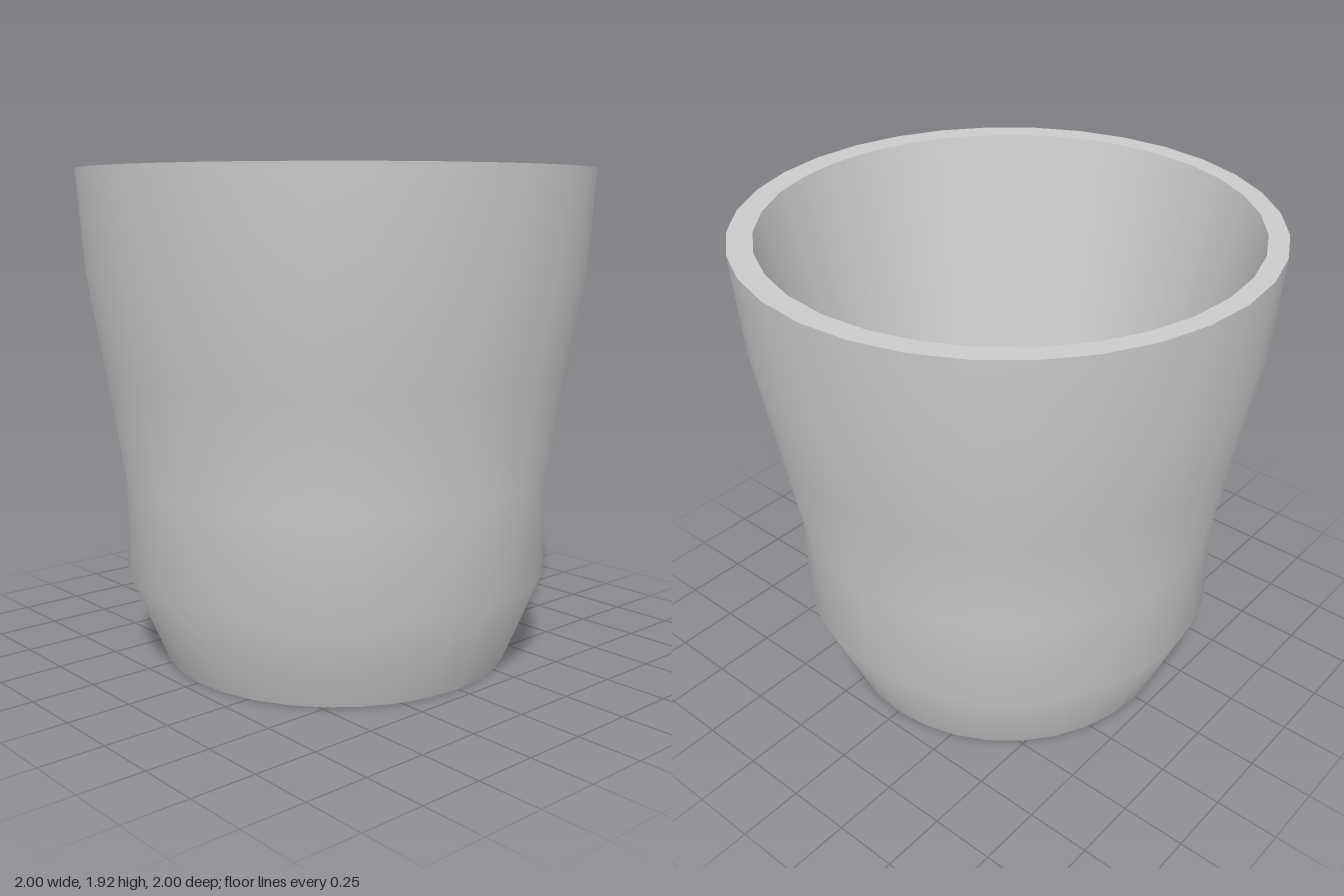
import * as THREE from 'three';

const SIDES = 32;
const HEIGHT = 1.92;
const material = new THREE.MeshStandardMaterial({ color: 0xcccccc });

// Revolves a profile of [radius, y, zShift]; each ring may sit slightly off the axis.
function revolve(name, profile) {
  const geometry = new THREE.LatheGeometry(
    profile.map(([r, y]) => new THREE.Vector2(r, y)), SIDES);
  const pos = geometry.attributes.position;
  for (let i = 0; i < pos.count; i++) {
    pos.setZ(i, pos.getZ(i) + (profile[i % profile.length][2] || 0));
  }
  const mesh = new THREE.Mesh(geometry, material);
  mesh.name = name;
  return mesh;
}

export function createModel() {
  const cup = new THREE.Group();
  cup.name = 'cup';

  // The hollow is a plain taper, set a touch towards the back
  const mouth = [0.915, HEIGHT, -0.012];
  const floorEdge = [0.522, 0.12, -0.018];

  cup.add(
    // Tapered foot, straight band, then a gently flaring body
    revolve('outerWall', [
      [0.69, 0], [0.84, 0.36], [0.84, 0.73], [0.91, 1.15], [0.972, 1.53], [1, HEIGHT],
    ]),
    revolve('rim', [[1, HEIGHT], mouth]),
    revolve('innerWall', [mouth, floorEdge]),
    revolve('innerFloor', [floorEdge, [0, 0.12, -0.018]]),
    revolve('base', [[0, 0], [0.69, 0]]),
  );
  return cup;
}
